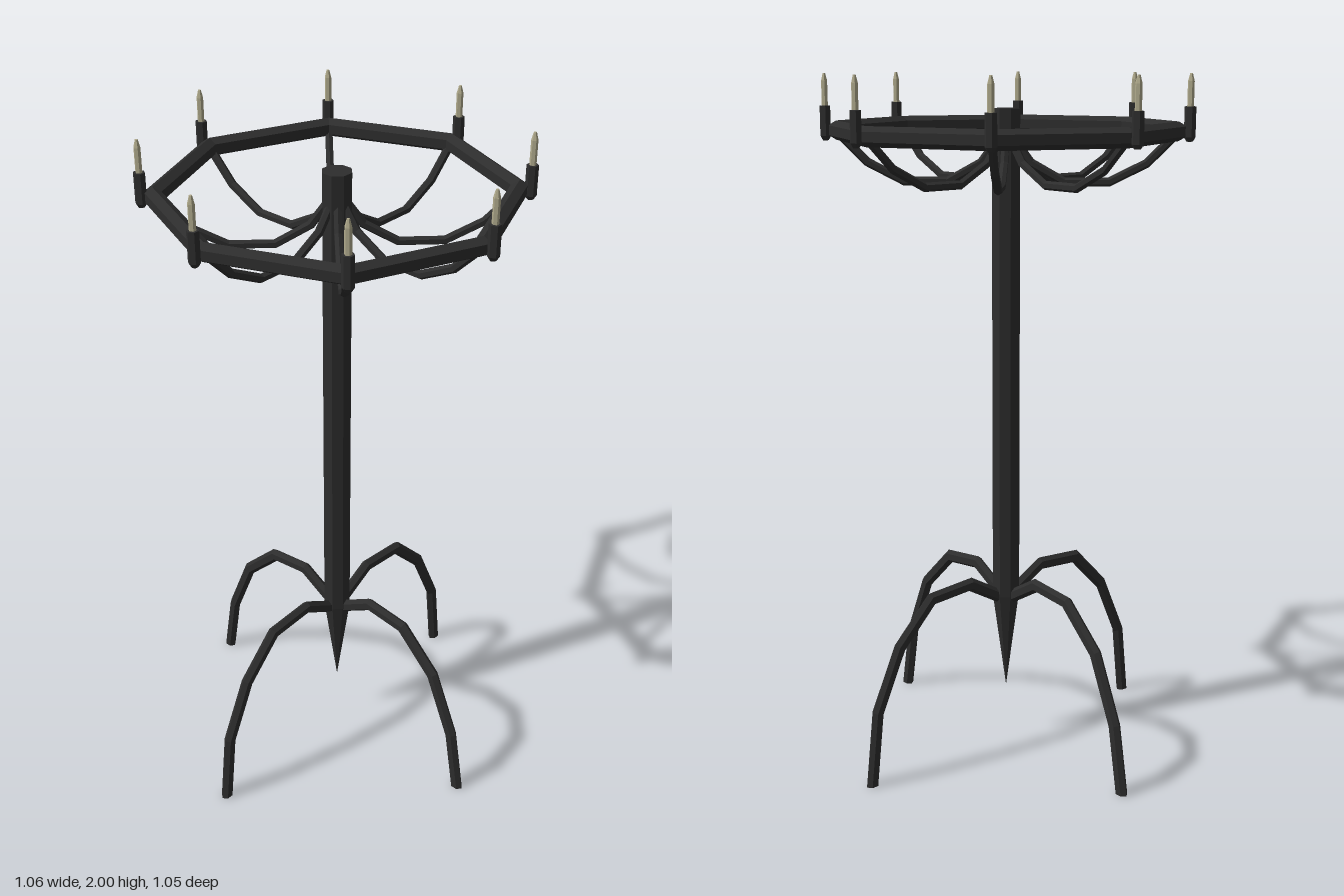
import * as THREE from 'three';

const iron = new THREE.MeshStandardMaterial({ color: 0x2d2d2d });
iron.name = 'blackIron';
const wax = new THREE.MeshStandardMaterial({ color: 0xb0aa8c });
wax.name = 'candleWax';

// Flat-shaded mesh with a name
function part(name, geometry, material, parent) {
  const g = geometry.index ? geometry.toNonIndexed() : geometry;
  g.computeVertexNormals();
  const mesh = new THREE.Mesh(g, material);
  mesh.name = name;
  parent.add(mesh);
  return mesh;
}

// Hexagonal bar swept along [x, y] points; a = half depth in the bend plane, b = half width
function bentBar(path, a, b, flatEnd) {
  const n = path.length, pos = [], idx = [];
  const pts = path.map(p => new THREE.Vector2(...p));
  const dir = i => pts[i + 1].clone().sub(pts[i]).normalize();
  pts.forEach((p, i) => {
    const d0 = dir(Math.max(i - 1, 0)), d1 = dir(Math.min(i, n - 2));
    const t = d0.clone().add(d1).normalize();
    if (flatEnd && i === n - 1) t.set(0, -1);
    const k = a / t.dot(d0);
    for (let s = 0; s < 6; s++) {
      const c = Math.cos(s * Math.PI / 3) * k, w = Math.sin(s * Math.PI / 3) / Math.sin(Math.PI / 3) * b;
      pos.push(p.x - t.y * c, p.y + t.x * c, w);
    }
  });
  for (let i = 0; i < n - 1; i++) {
    for (let s = 0; s < 6; s++) {
      const p = i * 6 + s, q = i * 6 + (s + 1) % 6;
      idx.push(p, q, p + 6, q, q + 6, p + 6);
    }
  }
  // End caps
  const e = (n - 1) * 6;
  for (let s = 1; s < 5; s++) idx.push(0, s + 1, s, e, e + s, e + s + 1);
  const g = new THREE.BufferGeometry();
  g.setAttribute('position', new THREE.Float32BufferAttribute(pos, 3));
  g.setIndex(idx);
  return g;
}

export function createModel() {
  const model = new THREE.Group();
  model.name = 'candelabra';

  // Octagonal pole with a pointed lower end
  const pole = part('pole', new THREE.CylinderGeometry(0.042, 0.042, 1.44, 8), iron, model);
  pole.position.y = 1.185;
  pole.rotation.y = Math.PI / 8;
  const spike = part('poleSpike', new THREE.ConeGeometry(0.042, 0.3, 8), iron, model);
  spike.rotation.set(Math.PI, Math.PI / 8, 0);
  spike.position.y = 0.315;

  // Four arched legs, the front and back pair slightly narrower
  const sideLeg = [[0, 0.447], [0.14, 0.527], [0.285, 0.517], [0.403, 0.398], [0.485, 0.22], [0.51, 0]];
  const frontLeg = [[0, 0.447], [0.135, 0.527], [0.268, 0.512], [0.39, 0.393], [0.471, 0.2], [0.505, 0]];
  for (let i = 0; i < 4; i++) {
    const leg = part('leg', bentBar(i % 2 ? frontLeg : sideLeg, 0.0195, 0.0135, true), iron, model);
    leg.rotation.y = i * Math.PI / 2;
  }

  // Octagonal ring of hexagonal bar, ridge upward
  const section = [];
  for (let s = 0; s <= 6; s++) {
    const t = Math.PI / 2 + s * Math.PI / 3;
    section.push(new THREE.Vector2(0.481 + 0.027 * Math.cos(t), 1.843 + 0.027 * Math.sin(t)));
  }
  part('ring', new THREE.LatheGeometry(section, 8), iron, model);

  // Eight drooping arms, each ending in a candle holder and candle
  const armPath = [[0.015, 1.83], [0.07, 1.755], [0.165, 1.702], [0.29, 1.702], [0.395, 1.755], [0.478, 1.838]];
  for (let i = 0; i < 8; i++) {
    const spoke = new THREE.Group();
    spoke.name = 'candleArm';
    spoke.rotation.y = i * Math.PI / 4;
    model.add(spoke);
    part('arm', bentBar(armPath, 0.0125, 0.0105, false), iron, spoke);
    const stand = new THREE.Group();
    stand.name = 'candleStand';
    stand.position.x = 0.512;
    stand.rotation.y = Math.PI / 2 - i * Math.PI / 4;
    spoke.add(stand);
    part('holder', new THREE.CylinderGeometry(0.0165, 0.0165, 0.084, 6), iron, stand).position.y = 1.869;
    part('holderBase', new THREE.CylinderGeometry(0.0165, 0.009, 0.012, 6), iron, stand).position.y = 1.821;
    part('candle', new THREE.CylinderGeometry(0.0095, 0.0095, 0.069, 6), wax, stand).position.y = 1.9445;
    part('candleTip', new THREE.CylinderGeometry(0.004, 0.0095, 0.021, 6), wax, stand).position.y = 1.9895;
  }
  return model;
}
